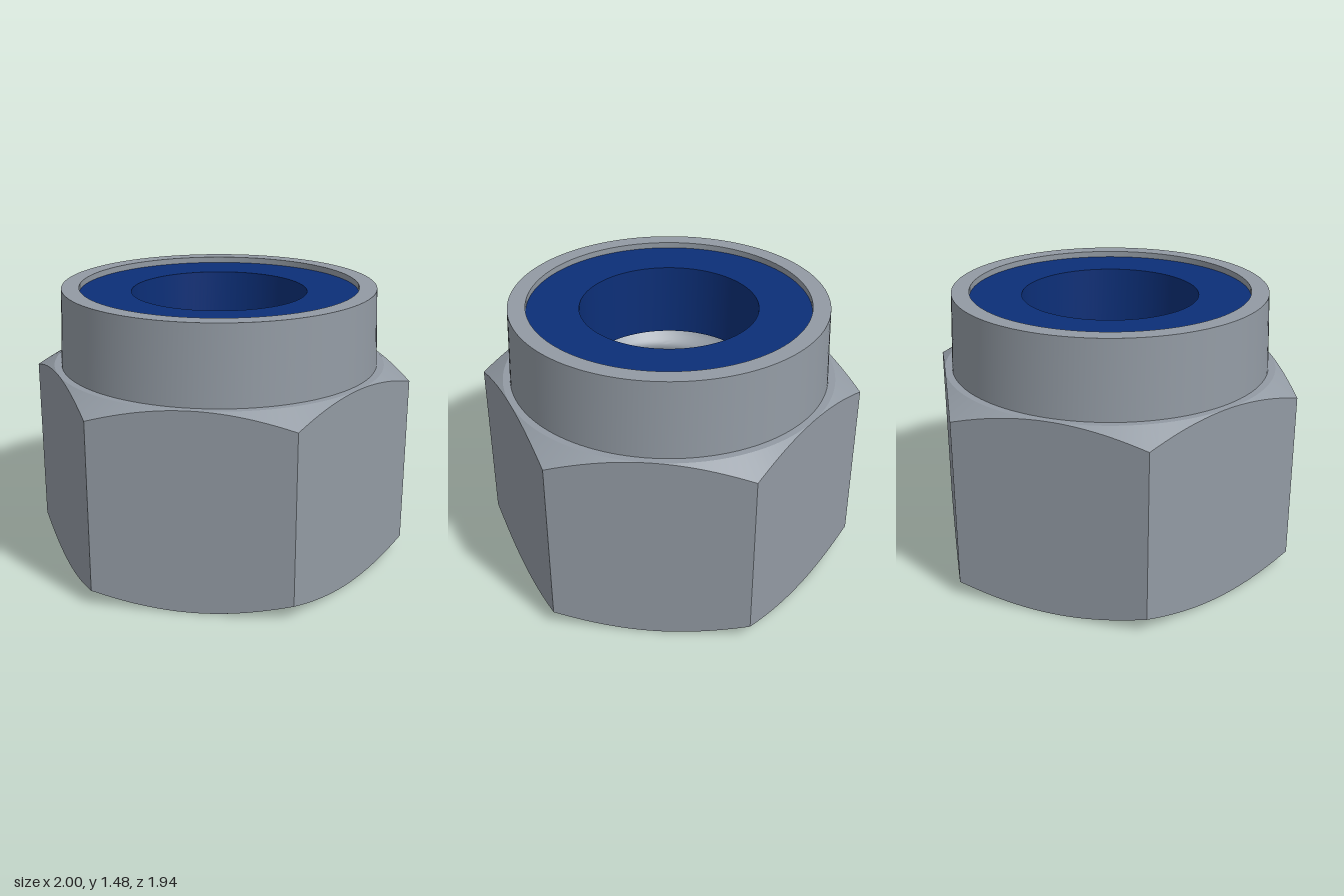
import * as THREE from 'three';
import { toCreasedNormals } from 'three/addons/utils/BufferGeometryUtils.js';

const TAU = Math.PI * 2;
const APOTHEM = 0.885, CORNER_TURN = TAU / 30, HEIGHT = 1.065;

// Sweeps a profile round the y axis; profile(angle) returns [radius, y] points,
// running up the outside, inwards over the top and down the inside.
function sweep(name, material, segments, profile) {
  const positions = [], index = [];
  let count = 0;
  for (let i = 0; i <= segments; i++) {
    const angle = CORNER_TURN + (i / segments) * TAU;
    const points = profile(angle);
    count = points.length;
    for (const [r, y] of points) positions.push(r * Math.cos(angle), y, r * Math.sin(angle));
  }
  for (let i = 0; i < segments; i++) {
    for (let j = 0; j < count - 1; j++) {
      const a = i * count + j, b = a + count;
      index.push(a, a + 1, b, b, a + 1, b + 1);
    }
  }
  const geometry = new THREE.BufferGeometry();
  geometry.setAttribute('position', new THREE.Float32BufferAttribute(positions, 3));
  geometry.setIndex(index);
  const mesh = new THREE.Mesh(toCreasedNormals(geometry, 0.4), material);
  mesh.name = name;
  return mesh;
}

// Hexagon with conical chamfers, which leave curved edges on the flats
function hexProfile(angle) {
  const sector = TAU / 6;
  const local = (angle - CORNER_TURN) % sector - sector / 2;
  const r = APOTHEM / Math.cos(local);
  const drop = (r - APOTHEM + 0.001) * 0.58;
  const flat = APOTHEM - 0.001;
  return [[0.61, 0], [flat, 0], [r, drop], [r, HEIGHT - drop], [flat, HEIGHT], [0.83, HEIGHT]];
}

// Right-handed rounded thread with a countersunk entry
function threadProfile(angle) {
  const points = [], rows = 130, top = 1.05, pitch = 0.23;
  for (let j = 0; j <= rows; j++) {
    const y = top * (1 - j / rows);
    const wave = 0.505 + 0.035 * Math.cos(TAU * y / pitch + angle);
    points.push([Math.max(wave, 0.61 - y * 1.1), y]);
  }
  return points;
}

export function createModel() {
  const steel = new THREE.MeshStandardMaterial({ color: 0x929aa3 });
  steel.name = 'steel grey';
  const nylon = new THREE.MeshStandardMaterial({ color: 0x0c2f78 });
  nylon.name = 'nylon blue';

  const model = new THREE.Group();
  model.name = 'lockNut';
  model.add(
    sweep('hexBody', steel, 144, hexProfile),
    sweep('thread', steel, 96, threadProfile),
    // Tapered collar with a thin rim round the insert
    sweep('collar', steel, 128, () => [[0.846, HEIGHT], [0.83, 1.475], [0.738, 1.475], [0.738, 1.4]]),
    // Locking ring, set just below the rim
    sweep('lockingInsert', nylon, 128, () => [
      [0.465, 1.05], [0.738, 1.05], [0.738, 1.443], [0.465, 1.443], [0.465, 1.05],
    ]),
  );
  return model;
}
